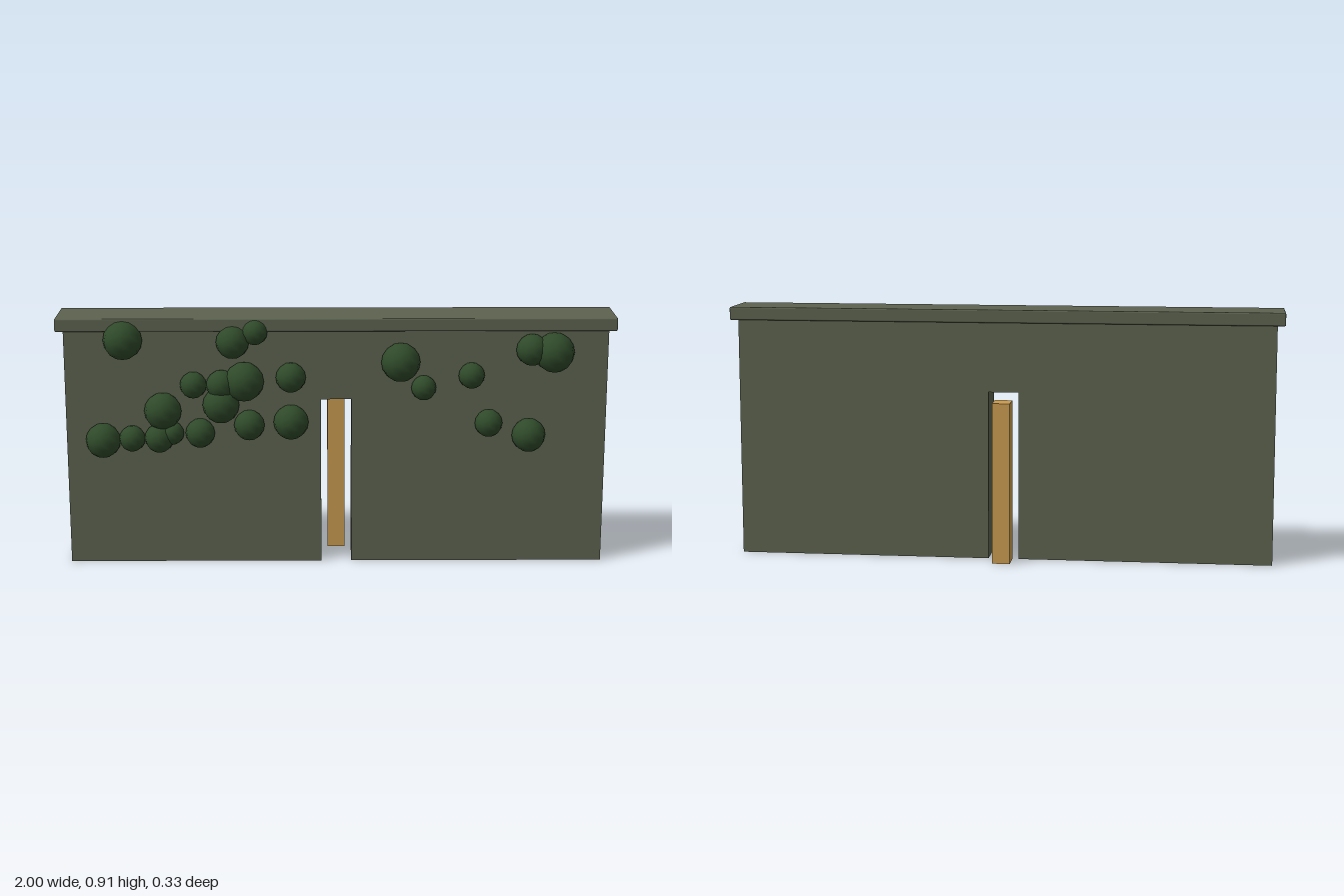
import * as THREE from 'three';
import { RoundedBoxGeometry } from 'three/addons/geometries/RoundedBoxGeometry.js';

const stone = new THREE.MeshStandardMaterial({ name: 'mossy stone', color: 0x5c624f });
const wood = new THREE.MeshStandardMaterial({ name: 'golden wood', color: 0xc99b50 });
const leaf = new THREE.MeshStandardMaterial({ name: 'ivy green', color: 0x2f4a2a });

// ivy clumps: x, y, radius
const CLUMPS = [
  [-0.76, 0.834, 0.07], [-0.84, 0.465, 0.063], [-0.735, 0.472, 0.047], [-0.637, 0.474, 0.053],
  [-0.59, 0.492, 0.042], [-0.623, 0.574, 0.067], [-0.49, 0.492, 0.053], [-0.512, 0.67, 0.048],
  [-0.412, 0.67, 0.054], [-0.414, 0.596, 0.066], [-0.33, 0.682, 0.071], [-0.37, 0.826, 0.059],
  [-0.29, 0.862, 0.045], [-0.163, 0.697, 0.054], [-0.163, 0.532, 0.063], [-0.313, 0.521, 0.055],
  [0.23, 0.752, 0.07], [0.313, 0.658, 0.045], [0.484, 0.703, 0.047], [0.548, 0.527, 0.05],
  [0.693, 0.482, 0.061], [0.698, 0.797, 0.057], [0.778, 0.787, 0.072],
];

export function createModel() {
  const model = new THREE.Group();
  model.name = 'ivyWall';
  const add = (name, geometry, material, x, y, z, parent = model) => {
    const mesh = new THREE.Mesh(geometry, material);
    mesh.name = name;
    mesh.position.set(x, y, z);
    parent.add(mesh);
    return mesh;
  };

  // wall slab with a narrow doorway notch
  const outline = new THREE.Shape([
    [-0.972, 0], [-0.055, 0], [-0.055, 0.613], [0.055, 0.613],
    [0.055, 0], [0.972, 0], [0.972, 0.868], [-0.972, 0.868],
  ].map(([x, y]) => new THREE.Vector2(x, y)));
  add('wall', new THREE.ExtrudeGeometry(outline, { depth: 0.166, bevelEnabled: false }), stone, 0, 0, -0.083);

  // coping with softened edges
  add('coping', new RoundedBoxGeometry(2, 0.047, 0.2, 2, 0.005), stone, 0, 0.8885, 0);

  // wooden door post behind the opening
  add('doorPost', new THREE.BoxGeometry(0.064, 0.584, 0.09), wood, 0, 0.292, -0.122);

  // ivy on the front face
  const ivy = new THREE.Group();
  ivy.name = 'ivy';
  model.add(ivy);
  for (const [x, y, r] of CLUMPS) {
    add('ivyClump', new THREE.SphereGeometry(r, 12, 8), leaf, x, y, 0.096, ivy);
  }
  return model;
}
